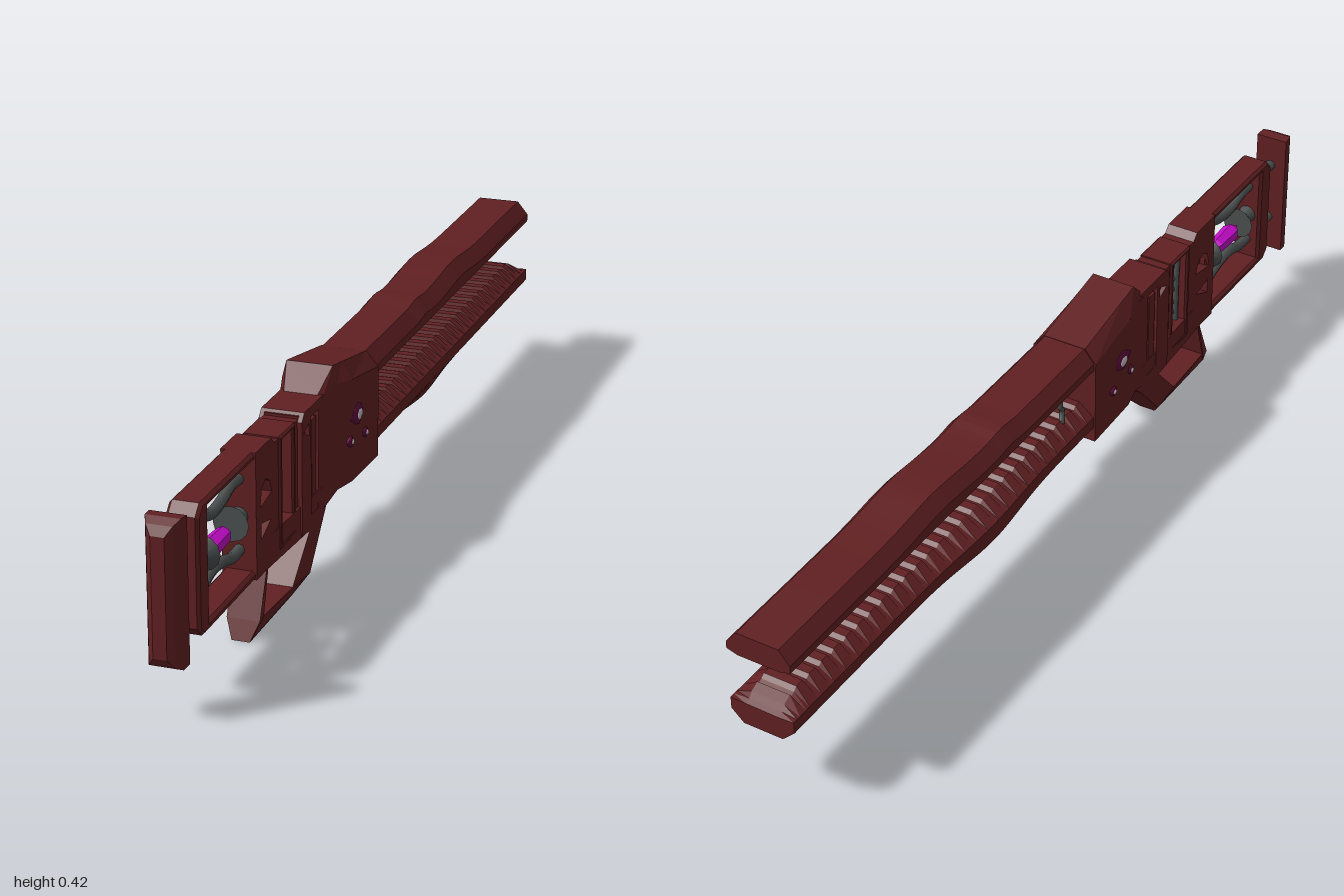
import * as THREE from 'three';

const mat = (name, color) => Object.assign(new THREE.MeshStandardMaterial({ color }), { name });
const V = (x, y, z) => new THREE.Vector3(x, y, z);

export function createModel() {
  const root = new THREE.Group();
  root.name = 'energyRifle';
  const red = mat('darkRed', 0x612022);
  const grey = mat('gunmetal', 0x4a504f);
  const magenta = mat('magentaCrystal', 0xc40cc8);
  const purple = mat('plumGem', 0x5c0a3a);
  const pale = mat('paleGem', 0xc4b4bf);

  const add = (name, geo, material, parent = root) => {
    const m = new THREE.Mesh(geo, material);
    m.name = name;
    parent.add(m);
    return m;
  };

  // Side-profile plate: points are [z, y], centred on x with half width w
  const plate = (pts, w, holes = [], bevel = 0) => {
    const vec = a => a.map(p => new THREE.Vector2(p[0], p[1]));
    const s = new THREE.Shape(vec(pts));
    holes.forEach(h => s.holes.push(new THREE.Path(vec(h))));
    const depth = 2 * (w - bevel);
    const g = new THREE.ExtrudeGeometry(s, {
      depth, bevelEnabled: bevel > 0, bevelSize: bevel, bevelThickness: bevel,
      bevelOffset: -bevel, bevelSegments: 1
    });
    return g.translate(0, 0, -depth / 2).rotateY(-Math.PI / 2);
  };
  const rect = (z0, z1, y0, y1) => [[z0, y0], [z1, y0], [z1, y1], [z0, y1]];

  // Loft of rings running clockwise seen from +z, sections ordered by falling z
  const loft = sections => {
    const pos = [], n = sections[0].ring.length;
    const put = (s, i) => pos.push(s.ring[i % n][0], s.ring[i % n][1], s.z);
    for (let k = 0; k < sections.length - 1; k++) {
      const a = sections[k], b = sections[k + 1];
      for (let i = 0; i < n; i++) {
        put(a, i); put(a, i + 1); put(b, i);
        put(a, i + 1); put(b, i + 1); put(b, i);
      }
    }
    const first = sections[0], last = sections[sections.length - 1];
    for (let i = 1; i < n - 1; i++) {
      put(first, 0); put(first, i + 1); put(first, i);
      put(last, 0); put(last, i); put(last, i + 1);
    }
    const g = new THREE.BufferGeometry();
    g.setAttribute('position', new THREE.Float32BufferAttribute(pos, 3));
    g.computeVertexNormals();
    return g;
  };

  const tube = (pts, r) => new THREE.TubeGeometry(new THREE.CatmullRomCurve3(pts), 24, r, 8);

  // Toothed rails with soft bulges
  const bump = (z, c, w) => Math.exp(-(((z - c) / w) ** 2));
  const upper = [], lower = [];
  const steps = 27, pitch = 1.06 / steps;
  for (let i = 0; i < steps; i++) {
    [[0.02, 0], [0.5, 0], [0.72, 0.007], [0.98, 0.007]].forEach(([f, t]) => {
      const z = i === steps - 1 && f === 0.98 ? -1 : 0.06 - (i + f) * pitch;
      const top = 0.382 + 0.011 * bump(z, -0.5, 0.1) + 0.006 * bump(z, -0.26, 0.035);
      const inU = 0.324 + t;
      upper.push({ z, ring: [
        [-0.045, top], [0.045, top], [0.068, top - 0.028], [0.068, 0.338],
        [0.045, inU], [-0.045, inU], [-0.068, 0.338], [-0.068, top - 0.028]] });
      const b = bump(z, -0.34, 0.14);
      const bot = 0.173 - 0.02 * b;
      const inL = 0.25 - t - 0.022 * Math.max(0, (-0.95 - z) / 0.05);
      const left = -0.068 - 0.009 * b;
      lower.push({ z, ring: [
        [-0.035, inL], [0.035, inL], [0.068, 0.223], [0.068, 0.198],
        [0.042, bot], [-0.042, bot], [left, 0.198 - 0.012 * b], [left, 0.223]] });
    });
  }
  add('upperRail', loft(upper), red);
  add('lowerRail', loft(lower), red);

  // Wires joining the rails near the body
  for (const s of [-1, 1]) {
    add('railWire', tube([V(s * 0.035, 0.24, -0.015), V(s * 0.03, 0.265, -0.005),
      V(s * 0.035, 0.285, -0.02), V(s * 0.032, 0.335, -0.012)], 0.006), grey);
  }

  // Wide front body, narrowing into the receiver
  const bodySection = (z, w, tw, top, ch, bot) => ({ z, ring: [
    [-tw, top], [tw, top], [w, top - ch], [w, bot], [-w, bot], [-w, top - ch]] });
  add('frontBody', loft([
    bodySection(0.30, 0.043, 0.034, 0.375, 0.012, 0.14),
    bodySection(0.25, 0.056, 0.047, 0.419, 0.036, 0.165),
    bodySection(0.20, 0.068, 0.047, 0.410, 0.034, 0.165),
    bodySection(0.055, 0.072, 0.047, 0.383, 0.03, 0.165)
  ]), red);

  // Slotted block behind the body
  add('slottedBlock', plate([[0.26, 0.165], [0.29, 0.13], [0.41, 0.13], [0.41, 0.36], [0.395, 0.375], [0.26, 0.375]], 0.043,
    [rect(0.32, 0.36, 0.155, 0.355), [[0.37, 0.32], [0.4, 0.335], [0.37, 0.345]]]), red);
  add('slottedBlockCore', plate(rect(0.27, 0.405, 0.16, 0.37), 0.034), red);
  add('slotRib', plate(rect(0.328, 0.352, 0.165, 0.345), 0.041), red);

  // Receiver with a window and side recesses over a thin core
  const windowHole = rect(0.442, 0.497, 0.155, 0.357);
  const receiver = [[0.4, 0.13], [0.625, 0.13], [0.625, 0.38], [0.545, 0.38], [0.53, 0.365], [0.4, 0.365]];
  add('receiver', plate(receiver, 0.034, [windowHole,
    [[0.545, 0.275], [0.605, 0.265], [0.595, 0.3], [0.575, 0.312], [0.555, 0.3]],
    [[0.55, 0.222], [0.6, 0.2], [0.6, 0.232]]]), red);
  add('receiverCore', plate(rect(0.41, 0.615, 0.135, 0.36), 0.014, [windowHole]), red);
  add('windowFrame', plate(rect(0.428, 0.511, 0.142, 0.368), 0.038, [windowHole], 0.004), red);

  // Coils inside the window
  for (const y of [0.2, 0.225, 0.28, 0.305]) {
    const k = y < 0.25 ? 1 : -1;
    add('windowCoil', tube([V(0, y, 0.435), V(0.012, y + 0.012 * k, 0.458),
      V(-0.012, y + 0.012 * k, 0.48), V(0, y, 0.505)], 0.006), grey);
  }
  for (const s of [-1, 1]) {
    add('windowPipe', tube([V(s * 0.018, 0.15, 0.492), V(s * 0.018, 0.22, 0.488),
      V(s * 0.018, 0.29, 0.488), V(s * 0.018, 0.36, 0.492)], 0.006), grey);
  }

  // Rear frame around the crystal
  add('rearFrame', plate([[0.6, 0.128], [0.872, 0.128], [0.892, 0.148], [0.892, 0.36], [0.872, 0.38], [0.6, 0.38]],
    0.031, [rect(0.622, 0.845, 0.147, 0.363)], 0.006), red);

  // Butt plate, rounded towards the rear
  add('buttPlate', loft([[1, 0.013, 0.135, 0.365], [0.99, 0.025, 0.117, 0.383], [0.973, 0.033, 0.108, 0.392], [0.95, 0.035, 0.11, 0.39]]
    .map(([z, w, lo, hi]) => ({ z, ring: [[-w, hi], [w, hi], [w, lo], [-w, lo]] }))), red);

  // Rods from the receiver to the butt plate
  for (const [y, k] of [[0.323, 1], [0.19, -1]]) {
    add('rearRod', tube([V(0, y, 0.96), V(0, y, 0.86), V(0, y, 0.81), V(0, y - 0.012 * k, 0.76),
      V(0, y - 0.008 * k, 0.71), V(0, y + 0.005 * k, 0.66), V(0, y, 0.6)], 0.011), grey);
  }

  // Crystal between two flared holders
  const lathe = (pts, n) => new THREE.LatheGeometry(pts.map(p => new THREE.Vector2(p[0], p[1])), n).rotateX(Math.PI / 2);
  const crystal = lathe([[0, -0.06], [0.017, -0.035], [0.02, 0.03], [0, 0.06]], 6).toNonIndexed();
  crystal.computeVertexNormals();
  add('crystal', crystal, magenta).position.set(0, 0.248, 0.737);
  for (const [z, d] of [[0.85, -1], [0.615, 1]]) {
    const holder = new THREE.Group();
    holder.name = 'crystalHolder';
    holder.position.set(0, 0.253, z);
    holder.rotation.x = d * Math.PI / 2;
    add('holderStem', new THREE.CylinderGeometry(0.013, 0.022, 0.03, 12).translate(0, 0.012, 0), grey, holder);
    add('holderFlare', new THREE.CylinderGeometry(0.035, 0.013, 0.026, 12).translate(0, 0.036, 0), grey, holder);
    root.add(holder);
  }

  // Grip loop: wider at the front, tapered towards the bottom edge
  const grip = plate([[0.57, 0.135], [0.61, 0.04], [0.625, 0.002], [0.405, 0.002], [0.372, 0.04], [0.26, 0.167], [0.3, 0.19], [0.57, 0.19]],
    1, [[[0.372, 0.128], [0.452, 0.043], [0.59, 0.043], [0.565, 0.128]]]);
  const p = grip.attributes.position;
  for (let i = 0; i < p.count; i++) {
    const wide = THREE.MathUtils.clamp((0.5 - p.getZ(i)) / 0.1, 0, 1);
    const w = p.getY(i) < 0.03 ? 0.018 : 0.033 + 0.011 * wide;
    p.setX(i, Math.sign(p.getX(i)) * w);
  }
  grip.computeVertexNormals();
  add('gripLoop', grip, red);

  // Eye-shaped gems on both sides of the body
  const eyeShape = lathe([[0, -1], [0.7, -0.45], [1, 0], [0.7, 0.45], [0, 1]], 10);
  for (const s of [-1, 1]) {
    for (const [z, y, h, l, x] of [[0.168, 0.295, 0.024, 0.04, 0.067], [0.205, 0.25, 0.013, 0.015, 0.065], [0.13, 0.243, 0.012, 0.017, 0.068]]) {
      const gem = new THREE.Group();
      gem.name = 'sideGem';
      gem.position.set(s * x, y, z);
      add('gemSetting', eyeShape, purple, gem).scale.set(0.009, h, l);
      const core = add('gemCore', new THREE.SphereGeometry(1, 8, 6), pale, gem);
      core.scale.set(0.005, h * 0.5, l * 0.38);
      core.position.x = s * 0.0055;
      root.add(gem);
    }
  }
  return root;
}
